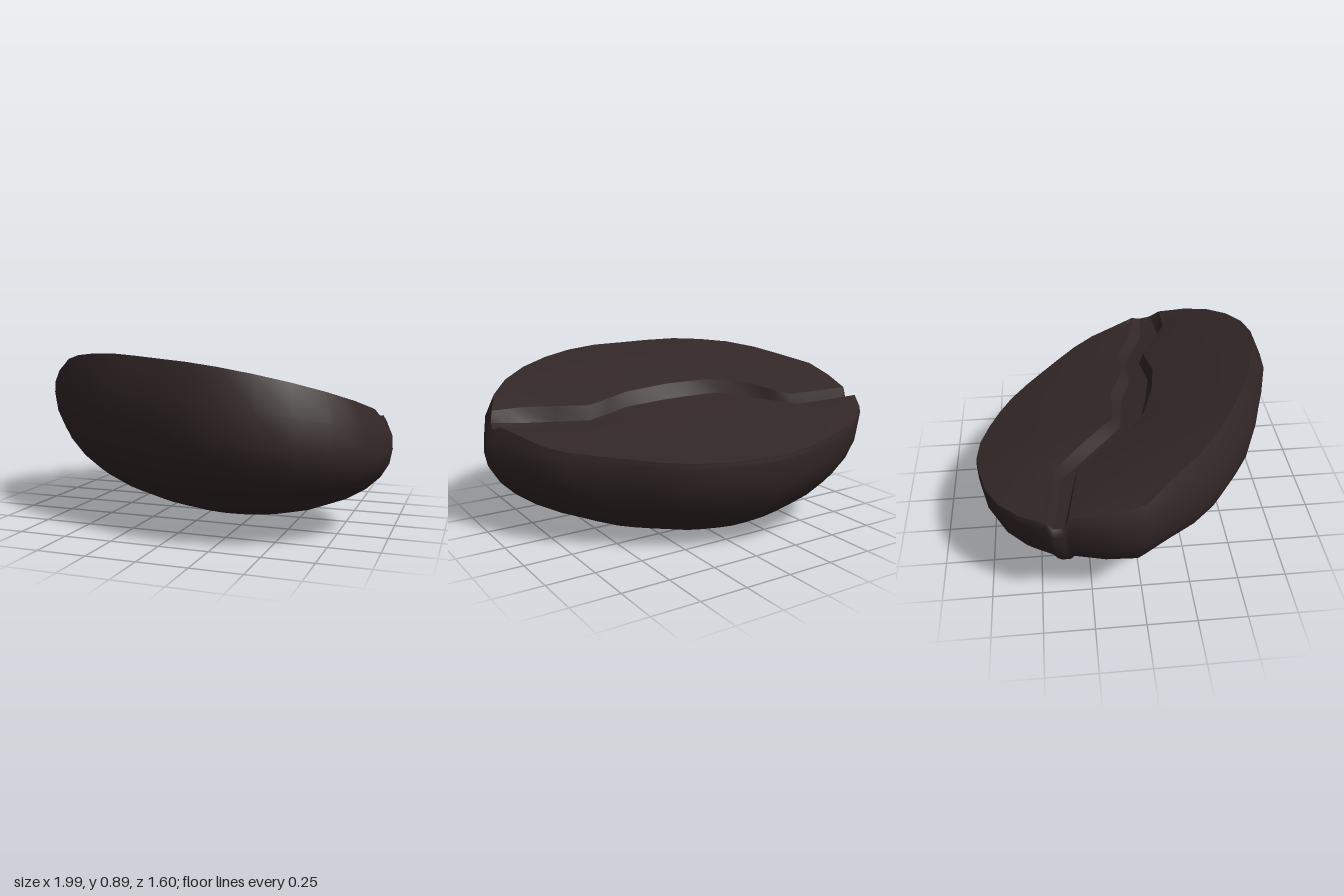
import * as THREE from 'three';

const SEG = 16;

// Tilted flat side of the bean, sagging a little towards the -x tip
const topY = (x, z) => 0.695 - 0.15 * x + 0.27 * z - 0.18 * Math.max(0, -x - 0.3) ** 2;
const mix = THREE.MathUtils.lerp;

// Smooth arc through [x, z] points, resampled evenly
function arc(points) {
  const curve = new THREE.CatmullRomCurve3(points.map(([x, z]) => new THREE.Vector3(x, 0, z)));
  return curve.getSpacedPoints(SEG).map((p) => ({ x: p.x, z: p.z, drop: 0 }));
}

// Skin over rows of Vector3; faces look along (row direction x column direction)
function skin(rows, closed = false) {
  const n = rows[0].length;
  const index = [];
  for (let r = 0; r < rows.length - 1; r++) {
    for (let i = 0; i < (closed ? n : n - 1); i++) {
      const j = (i + 1) % n;
      const a = r * n + i, b = r * n + j, c = (r + 1) * n + j, d = (r + 1) * n + i;
      index.push(a, d, c, a, c, b);
    }
  }
  const geometry = new THREE.BufferGeometry().setFromPoints(rows.flat());
  geometry.setIndex(index);
  geometry.computeVertexNormals();
  return geometry;
}

// Outline split by the two mouths of the crease
const backArc = arc([[-0.92, -0.45], [-0.8, -0.61], [-0.63, -0.72], [-0.46, -0.77], [-0.24, -0.8],
  [-0.06, -0.77], [0.27, -0.64], [0.57, -0.41], [0.82, -0.18], [0.9, -0.02], [0.975, 0.14]]);
const frontArc = arc([[0.965, 0.32], [0.88, 0.52], [0.7, 0.69], [0.47, 0.78], [0.34, 0.8], [0.05, 0.76],
  [-0.1, 0.69], [-0.28, 0.64], [-0.6, 0.45], [-0.74, 0.34], [-0.9, 0.12], [-1, -0.03], [-0.935, -0.35]]);
const rightMouth = [{ x: 1, z: 0.19, drop: 0.03 }, { x: 0.99, z: 0.26, drop: 0.03 }];
const leftMouth = [{ x: -0.932, z: -0.37, drop: 0.06 }, { x: -0.925, z: -0.42, drop: 0.06 }];
const ring = [...backArc, ...rightMouth, ...frontArc, ...leftMouth];

// Crease lips from -x to +x: back x, back z, front x, front z
const lips = [
  [-0.54, -0.4, -0.57, -0.29], [-0.37, -0.25, -0.44, -0.09], [-0.21, -0.09, -0.25, 0.06],
  [0.06, -0.08, -0.03, 0.13], [0.28, 0, 0.2, 0.165], [0.5, 0, 0.44, 0.14], [0.86, 0.13, 0.75, 0.3],
];

const CX = 0.05, CZ = -0.2;
const widestY = (p) => Math.min(0.53 - 0.1 * p.x + 0.02 * p.z, topY(p.x, p.z) - p.drop - 0.03);

// Outline point scaled about the lowest point of the bean
const scaled = (p, s, y) => new THREE.Vector3(mix(CX, p.x, s), y, mix(CZ, p.z, s));

function rimPoint(p) {
  const rise = Math.max(0, topY(p.x, p.z) - widestY(p));
  const v = scaled(p, 1 - 0.23 * rise, 0);
  v.y = topY(v.x, v.z) - p.drop;
  return v;
}

// Rounded underside and side wall
function shellGeometry() {
  const rows = [];
  for (let k = 0; k <= 9; k++) {
    const a = (k / 9) * Math.PI / 2;
    rows.push(ring.map((p) => scaled(p, Math.max(0.001, Math.sin(a)), widestY(p) * (1 - Math.cos(a)))));
  }
  rows.push(ring.map((p) => {
    const rim = rimPoint(p);
    return scaled(p, 0.995, mix(widestY(p), rim.y, 0.5));
  }));
  rows.push(ring.map(rimPoint));
  return skin(rows, true);
}

export function createModel() {
  const model = new THREE.Group();
  model.name = 'bean';
  const roast = new THREE.MeshStandardMaterial({ color: 0x332727 });
  roast.name = 'dark roast brown';
  roast.side = THREE.DoubleSide;

  const add = (name, geometry) => {
    const mesh = new THREE.Mesh(geometry, roast);
    mesh.name = name;
    model.add(mesh);
  };

  const backRim = backArc.map(rimPoint);
  const frontRim = frontArc.map(rimPoint).reverse();
  const leftFloor = leftMouth.map(rimPoint).reverse();
  const rightFloor = rightMouth.map(rimPoint);

  // Four lines of the crease: back lip, two floor edges, front lip
  const lipPoint = (x, z) => new THREE.Vector3(x, topY(x, z) - 0.03, z);
  const stations = lips.map(([bx, bz, fx, fz]) => {
    const back = lipPoint(bx, bz), front = lipPoint(fx, fz);
    const floor = (t) => back.clone().lerp(front, t).add(new THREE.Vector3(0, -0.07, 0));
    return [back, floor(0.25), floor(0.85), front];
  });
  stations.unshift([backRim[0], ...leftFloor, frontRim[0]]);
  stations.push([backRim[SEG], ...rightFloor, frontRim[SEG]]);
  const crease = [0, 1, 2, 3].map((line) => Array.from({ length: SEG + 1 }, (_, i) => {
    const k = Math.min(Math.floor(i / 2), stations.length - 2);
    return stations[k][line].clone().lerp(stations[k + 1][line], i / 2 - k);
  }));

  // Flat half between a crease lip and the rim, dipping gently at the lip
  const half = (lip, rim) => [0, 0.25, 0.5, 0.75, 1].map((t) => lip.map((p, i) => {
    const v = p.clone().lerp(rim[i], t);
    if (t > 0 && t < 1 && i > 0 && i < SEG) v.y = topY(v.x, v.z) - 0.03 * (1 - t) ** 2;
    return v;
  }));

  add('shell', shellGeometry());
  add('backHalf', skin(half(crease[0], backRim).reverse()));
  add('frontHalf', skin(half(crease[3], frontRim)));

  // Crease walls and floor keep sharp edges
  ['creaseBackWall', 'creaseFloor', 'creaseFrontWall'].forEach((name, i) => {
    add(name, skin([crease[i], crease[i + 1]]));
  });
  return model;
}
